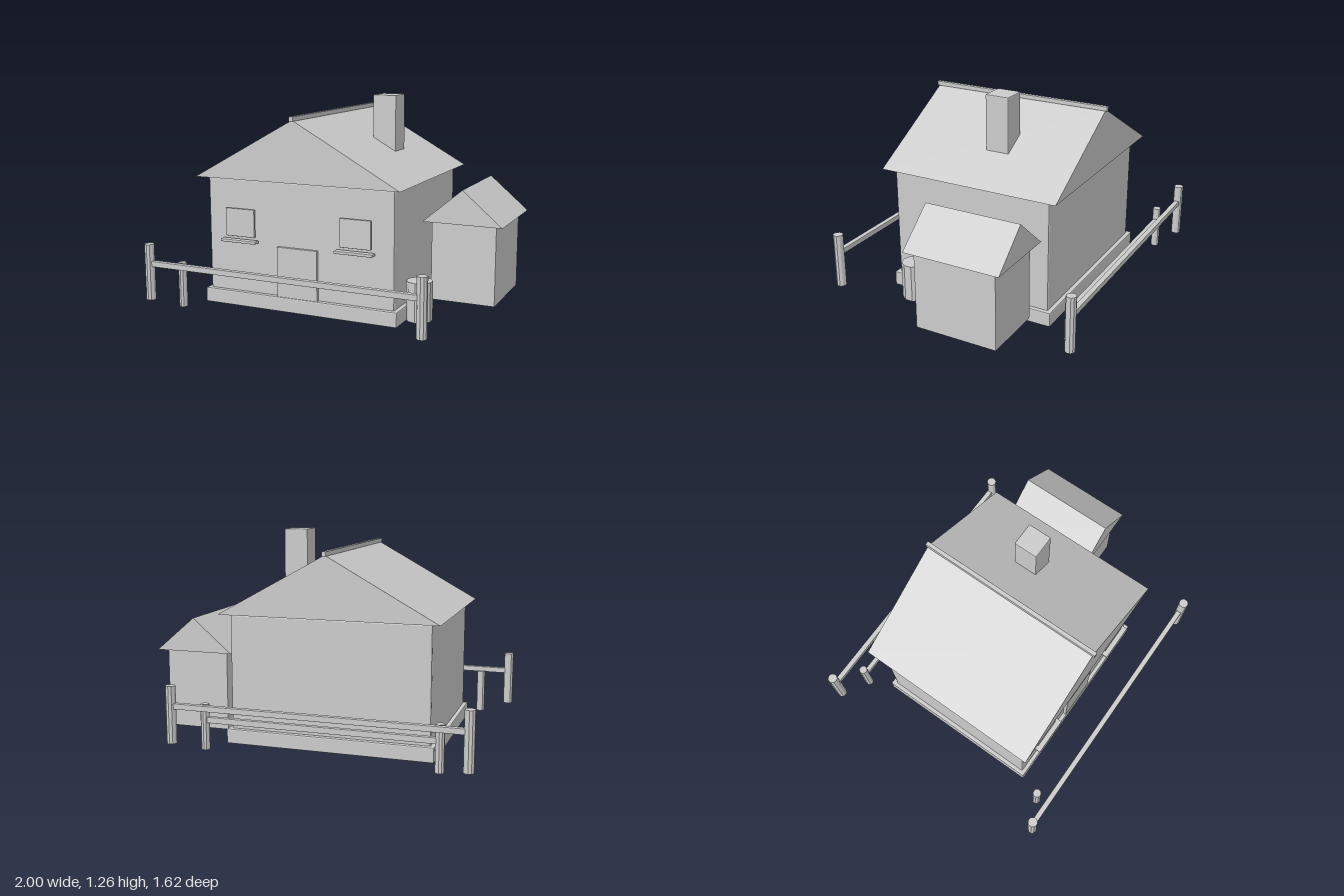
import * as THREE from 'three';
import { RoundedBoxGeometry } from 'three/addons/geometries/RoundedBoxGeometry.js';

const material = new THREE.MeshStandardMaterial({ color: 0xcccccc, flatShading: true });

export function createModel() {
  const model = new THREE.Group();
  model.name = 'cottage';

  const add = (name, geometry, parent = model) => {
    const mesh = new THREE.Mesh(geometry, material);
    mesh.name = name;
    parent.add(mesh);
    return mesh;
  };

  // Bevelled box given by its extents on each axis
  const box = (name, [x0, x1], [y0, y1], [z0, z1], bevel = 0.004, parent = model) => {
    const g = new RoundedBoxGeometry(x1 - x0, y1 - y0, z1 - z0, 1, bevel);
    g.translate((x0 + x1) / 2, (y0 + y1) / 2, (z0 + z1) / 2);
    return add(name, g, parent);
  };

  // Closed triangular prism with its ridge along z
  const gableRoof = (name, [x0, x1], [y0, y1], [z0, z1]) => {
    const shape = new THREE.Shape();
    shape.moveTo(x0, y0);
    shape.lineTo(x1, y0);
    shape.lineTo((x0 + x1) / 2, y1);
    shape.closePath();
    const g = new THREE.ExtrudeGeometry(shape, { depth: z1 - z0, bevelEnabled: false });
    g.translate(0, 0, z0);
    return add(name, g);
  };

  // Upright ten-sided cylinder
  const upright = (name, x, z, radius, [y0, y1], parent = model) => {
    const g = new THREE.CylinderGeometry(radius, radius, y1 - y0, 10);
    g.translate(x, (y0 + y1) / 2, z);
    return add(name, g, parent);
  };

  // House body
  box('foundation', [-0.735, 0.52], [0, 0.09], [-0.54, 0.54], 0.007);
  box('walls', [-0.71, 0.495], [0.08, 0.777], [-0.513, 0.515], 0.011);
  gableRoof('roof', [-0.765, 0.547], [0.78, 1.142], [-0.575, 0.573]);
  box('roofRidge', [-0.122, -0.096], [1.136, 1.163], [-0.587, 0.587], 0.003);
  box('chimney', [0.145, 0.293], [0.86, 1.258], [-0.145, 0.005], 0.006);

  // Door and front windows
  box('door', [-0.24, 0.022], [0.085, 0.39], [0.513, 0.535]);
  for (const [side, x] of [['right', -0.483], ['left', 0.265]]) {
    const window = new THREE.Group();
    window.name = side + 'Window';
    model.add(window);
    box('windowPane', [x - 0.097, x + 0.097], [0.43, 0.599], [0.526, 0.542], 0.004, window);
    box('windowSill', [x - 0.119, x + 0.119], [0.398, 0.415], [0.528, 0.572], 0.004, window);
  }

  // Side shed
  box('shedWalls', [0.56, 0.952], [0.05, 0.528], [-0.43, 0.085], 0.003);
  gableRoof('shedRoof', [0.515, 0.997], [0.53, 0.735], [-0.475, 0.126]);

  // Barrel beside the house
  upright('barrel', 0.583, 0.345, 0.077, [0.003, 0.235]);

  // Outer fences, front and back
  for (const [side, z] of [['front', 0.776], ['back', -0.779]]) {
    const fence = new THREE.Group();
    fence.name = side + 'Fence';
    model.add(fence);
    for (const x of [-0.97, 0.755]) upright('fencePost', x, z, 0.03, [0.05, 0.39], fence);
    box('fenceRail', [-0.955, 0.74], [0.255, 0.288], [z - 0.016, z + 0.016], 0.002, fence);
  }

  // Lower inner fence at the back, and the single inner post at the front
  const inner = new THREE.Group();
  inner.name = 'innerFence';
  model.add(inner);
  for (const [x, z] of [[-0.798, -0.692], [0.583, -0.692], [-0.798, 0.69]]) {
    upright('innerPost', x, z, 0.026, [0.005, 0.275], inner);
  }
  box('innerRail', [-0.785, 0.57], [0.165, 0.2], [-0.707, -0.678], 0.002, inner);

  return model;
}
